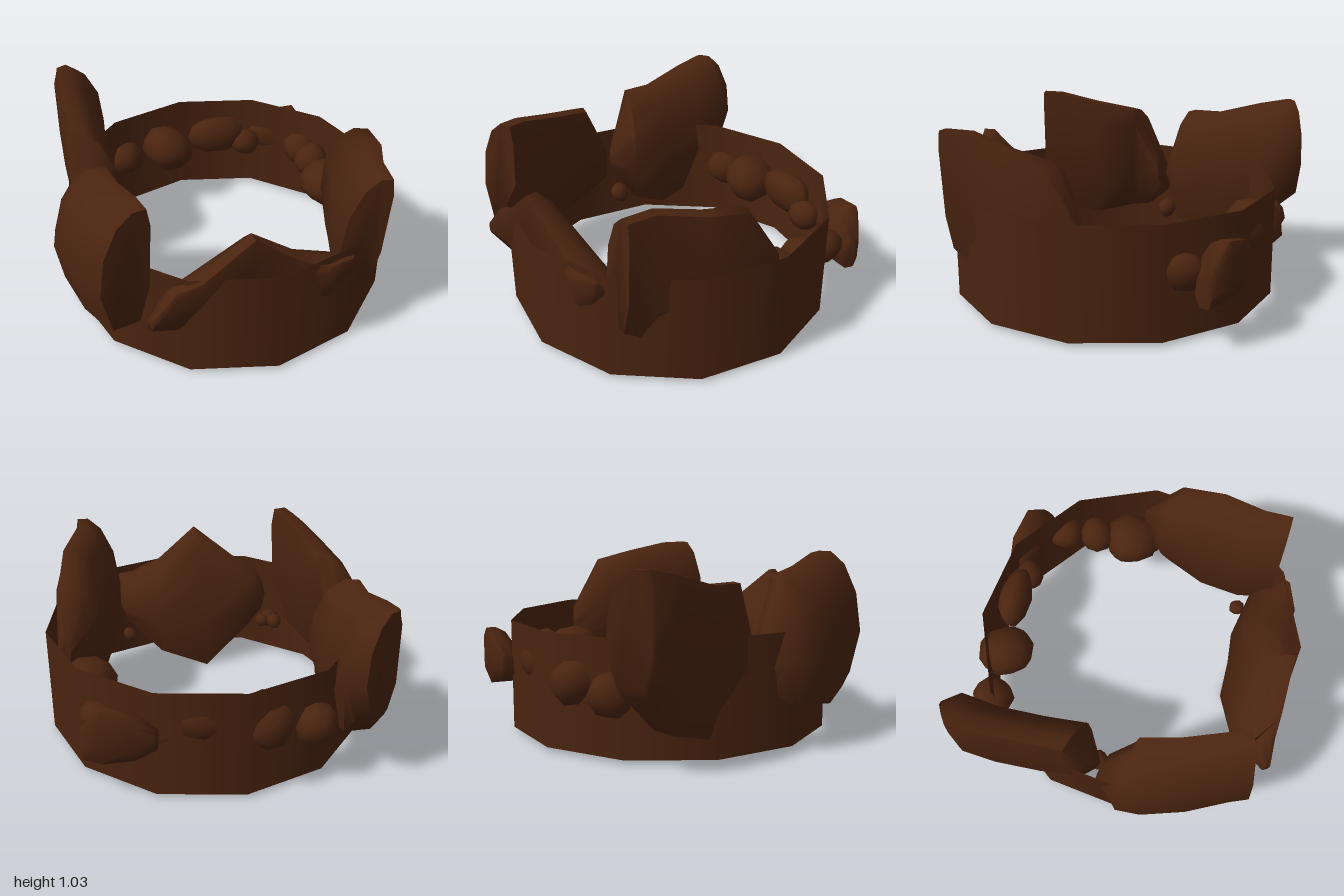
import * as THREE from 'three';
import { mergeVertices, toCreasedNormals } from 'three/addons/utils/BufferGeometryUtils.js';

const brown = new THREE.MeshStandardMaterial({ color: 0x4a2410, side: THREE.DoubleSide });
brown.name = 'darkBrown';

// slab cross-section: [across, up], clockwise from the top, flat on one side and bulging on the other
const SECTION = [[-0.25, 1], [0.35, 0.9], [0.85, 0.67], [1, 0.35], [0.5, 0], [-0.6, 0], [-0.97, 0.3], [-0.97, 0.85], [-0.8, 1]];

// lofts a rock slab through stations [x, z, halfWidth, bottom, top, lean]
function slabGeometry(stations) {
  const pos = [], idx = [], n = SECTION.length, last = stations.length - 1;
  stations.forEach(([x, z, w, bottom, top, lean = 0], i) => {
    const p = stations[Math.max(i - 1, 0)], q = stations[Math.min(i + 1, last)];
    const len = Math.hypot(q[0] - p[0], q[1] - p[1]);
    const sx = -(q[1] - p[1]) / len, sz = (q[0] - p[0]) / len;
    for (const [u, v] of SECTION) {
      const across = u * w + lean * (v - 0.5);
      pos.push(x + sx * across, bottom + v * (top - bottom), z + sz * across);
    }
  });
  for (let i = 0; i < last; i++) {
    for (let j = 0; j < n; j++) {
      const a = i * n + j, b = i * n + (j + 1) % n;
      idx.push(a, b, a + n, b, b + n, a + n);
    }
  }
  for (let j = 1; j < n - 1; j++) {
    idx.push(0, j + 1, j);
    idx.push(last * n, last * n + j, last * n + j + 1);
  }
  const geo = new THREE.BufferGeometry();
  geo.setAttribute('position', new THREE.Float32BufferAttribute(pos, 3));
  geo.setIndex(idx);
  return toCreasedNormals(geo, 1.2);
}

// lumpy boulder: an icosahedron whose corners are pushed in and out by a wave
function boulderGeometry(seed) {
  let geo = new THREE.IcosahedronGeometry(1, 1);
  geo.deleteAttribute('uv');
  geo.deleteAttribute('normal');
  geo = mergeVertices(geo);
  const p = geo.attributes.position, v = new THREE.Vector3();
  for (let i = 0; i < p.count; i++) {
    v.fromBufferAttribute(p, i);
    const k = 1 + 0.08 * Math.sin(3.1 * v.x + seed * 1.7) * Math.cos(2.7 * v.y - seed) + 0.05 * Math.sin(4 * v.z + seed * 2.3);
    p.setXYZ(i, v.x * k, v.y * k, v.z * k);
  }
  geo.computeVertexNormals();
  return geo;
}

export function createModel() {
  const group = new THREE.Group();
  const add = (name, geo) => {
    const mesh = new THREE.Mesh(geo, brown);
    mesh.name = name;
    group.add(mesh);
    return mesh;
  };

  // open twelve-sided wall
  const wall = add('ringWall', new THREE.CylinderGeometry(0.94, 0.94, 0.635, 12, 1, true));
  wall.position.set(0.06, 0.34, 0.03);

  // large standing slabs
  add('backRightSlab', slabGeometry([
    [-0.76, -0.18, 0.08, 0.42, 0.64], [-0.66, -0.25, 0.15, 0.24, 0.93], [-0.64, -0.46, 0.14, 0.13, 0.93],
    [-0.63, -0.72, 0.14, 0.2, 1.0], [-0.61, -0.9, 0.15, 0.4, 1.035], [-0.64, -0.96, 0.12, 0.46, 1.035],
  ]));
  add('frontRightSlab', slabGeometry([
    [-0.74, -0.1, 0.06, 0.38, 0.6, -0.04], [-0.82, 0.03, 0.12, 0.25, 0.92, -0.12], [-0.82, 0.12, 0.15, 0.25, 0.93, -0.1],
    [-0.78, 0.36, 0.15, 0.2, 0.97, -0.06], [-0.72, 0.6, 0.14, 0.25, 1.03, -0.04], [-0.7, 0.71, 0.14, 0.32, 1.035, -0.04],
  ]));
  add('frontLeftSlab', slabGeometry([
    [0.91, 0, 0.05, 0.4, 0.62, 0.06], [0.79, 0.15, 0.15, 0.25, 0.93, 0.04], [0.72, 0.4, 0.15, 0.12, 0.98],
    [0.61, 0.63, 0.13, 0.24, 1.03, -0.03], [0.58, 0.81, 0.12, 0.34, 1.03, -0.05],
  ]));
  add('frontSlab', slabGeometry([
    [0.5, 0.87, 0.03, 0.53, 0.61], [0.39, 0.8, 0.14, 0.34, 0.61, -0.04],
    [0.2, 0.73, 0.13, 0.13, 0.68, -0.12], [-0.08, 0.72, 0.12, 0, 0.88, -0.18],
    [-0.37, 0.74, 0.12, 0.24, 0.65, -0.1], [-0.5, 0.79, 0.07, 0.31, 0.6, -0.04], [-0.62, 0.84, 0.025, 0.38, 0.45],
  ]));

  // angular rock poking out of the back left corner
  add('cornerRock', slabGeometry([
    [0.52, -0.81, 0.04, 0.34, 0.46], [0.62, -0.77, 0.08, 0.28, 0.54],
    [0.78, -0.69, 0.1, 0.24, 0.58], [0.89, -0.65, 0.05, 0.24, 0.44],
  ]));

  // boulders along the back and left: [x, y, z, sx, sy, sz, turn]
  const boulders = [
    [-0.35, 0.36, -0.82, 0.125, 0.12, 0.125, 0],
    [-0.07, 0.4, -0.78, 0.16, 0.15, 0.165, 0.4],
    [0.27, 0.45, -0.77, 0.2, 0.13, 0.1, -0.1],
    [0.46, 0.38, -0.72, 0.1, 0.09, 0.09, 0],
    [0.78, 0.39, -0.53, 0.11, 0.11, 0.11, 0],
    [0.78, 0.41, -0.33, 0.11, 0.11, 0.11, 0.5],
    [0.78, 0.39, -0.1, 0.16, 0.13, 0.17, 0],
    [0.82, 0.38, 0.03, 0.09, 0.09, 0.08, 0],
  ];
  // pebbles filling the gaps: [x, y, z, radius]
  const pebbles = [
    [-0.65, 0.28, -0.14, 0.06], [-0.55, 0.28, 0.56, 0.05], [-0.48, 0.27, 0.61, 0.045],
    [-0.54, 0.27, 0.64, 0.06], [0.43, 0.28, 0.61, 0.045],
  ];
  boulders.forEach(([x, y, z, sx, sy, sz, turn], i) => {
    const rock = add('boulder' + (i + 1), boulderGeometry(i + 1));
    rock.position.set(x, y, z);
    rock.scale.set(sx, sy, sz);
    rock.rotation.y = turn;
  });
  pebbles.forEach(([x, y, z, r], i) => {
    const rock = add('pebble' + (i + 1), boulderGeometry(i + 20));
    rock.position.set(x, y, z);
    rock.scale.setScalar(r);
  });
  return group;
}
